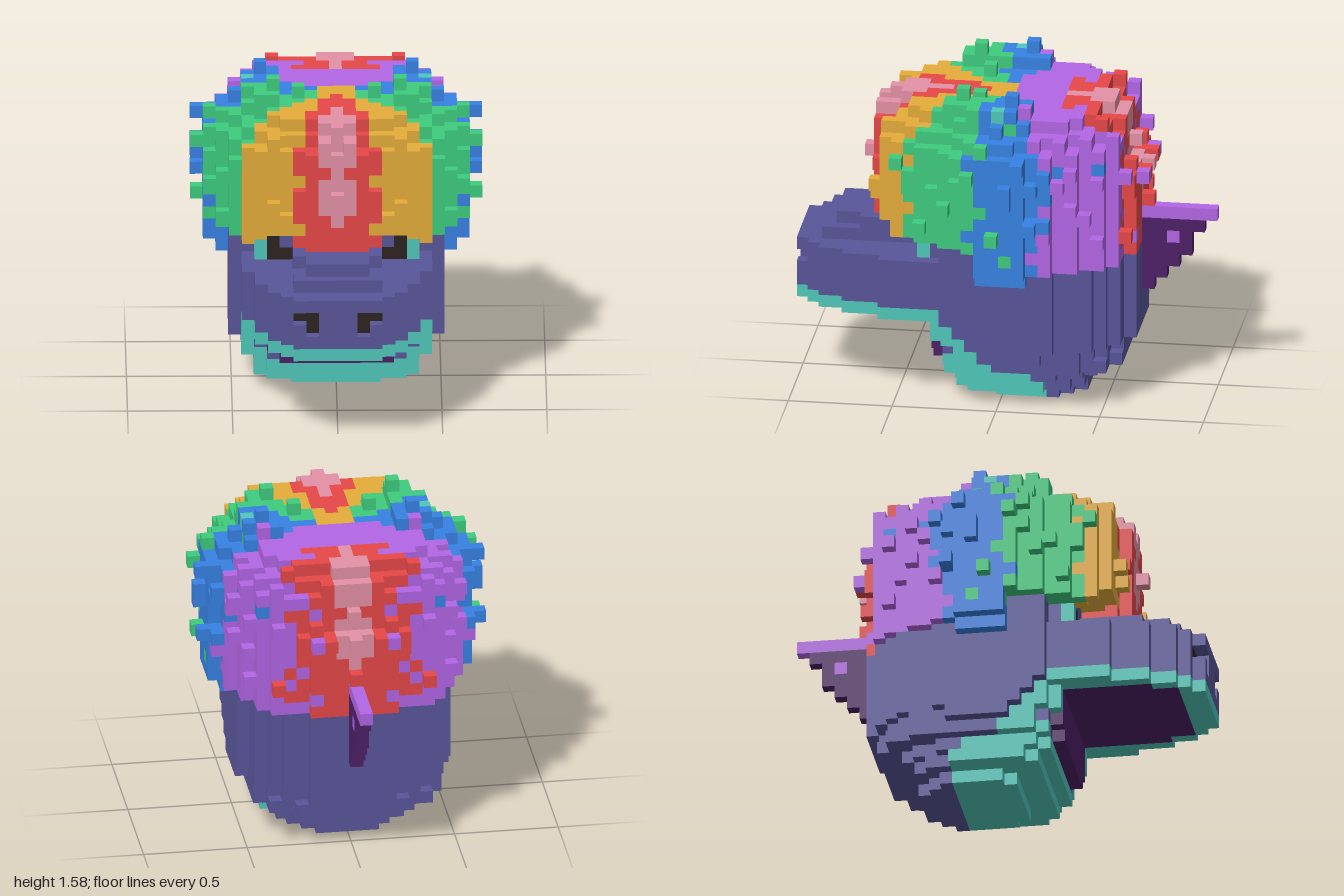
import * as THREE from 'three';

const U = 2 / 33; // edge of one block

const paint = (name, color) => {
  const m = new THREE.MeshStandardMaterial({ color });
  m.name = name;
  return m;
};
const slate = paint('slate', 0x59569a), teal = paint('teal', 0x50c8bb);
const plum = paint('dark plum', 0x4d2066), black = paint('black', 0x2e2420);
const pink = paint('pink', 0xe491a5), red = paint('red', 0xe84848);
const orange = paint('orange', 0xe5ad3b), green = paint('green', 0x3ecc7f);
const blue = paint('blue', 0x3782e3), purple = paint('purple', 0xb366e6);

const partMaterial = {
  head: slate, lips: teal, mouth: plum, nostrils: black, eyes: black, eyeCorners: teal,
  hairPink: pink, hairRed: red, hairOrange: orange, hairGreen: green, hairBlue: blue, hairPurple: purple, hairTeal: teal,
  ponytail: plum, ponytailTop: purple,
};

// Repeatable noise from block coordinates, 0..1
function hash(a, b, c, d = 0) {
  let h = Math.imul(a + 31, 374761393) ^ Math.imul(b + 17, 668265263) ^ Math.imul(c + 53, 2147483647) ^ Math.imul(d + 7, 1274126177);
  h = Math.imul(h ^ (h >>> 13), 1274126177);
  h = Math.imul(h ^ (h >>> 15), 2246822519);
  return ((h ^ (h >>> 16)) >>> 0) / 4294967296;
}

// Hair colour runs around the crown from front (0 degrees) to back (180)
function hairPart(i, j, k) {
  const r = Math.hypot(i, k);
  const pinkWidth = j === 16 || j === 20 || Math.abs(k) < 7 ? 0 : 1;
  if (j >= 16 && r >= 5 && i <= pinkWidth) return 'hairPink';
  if (r < 2) return k >= 0 ? 'hairOrange' : 'hairPurple';
  let angle = THREE.MathUtils.radToDeg(Math.atan2(i, k - 0.4));
  angle += (hash(i, j, k, 9) - 0.5) * (angle > 130 ? 24 : 9);
  if (angle > 60 && angle < 100 && hash(i, j, k, 5) < 0.05) return 'hairTeal';
  if (angle > 85 && angle < 140 && hash(i, j, k, 6) < 0.06) angle -= 30;
  if (angle < 20) return 'hairRed';
  if (angle < 46) return 'hairOrange';
  if (angle < 83) return 'hairGreen';
  if (angle < 114) return 'hairBlue';
  return angle < 155 || r < 5 ? 'hairPurple' : 'hairRed';
}

// Half widths in blocks, along z
const headRound = [0.4, 0.63, 0.75, 0.88, 0.88, 0.88], chinRound = [0.6, 0.8, 0.88];
const rounded = (full, steps, n) => Math.round(full * (steps[n] ?? 1));
function snoutWidth(k) {
  if (k <= 9) return 7;
  if (k <= 12) return 6;
  return k <= 14 ? 5 : 19 - k;
}
const hairWidths = [3, 6, 7, 7, 8, 8, 9, 9, 10, 10, 10, 10, 10, 9, 9, 8, 8, 7, 7, 6, 2]; // z -10 to 10
const hairWidth = (k) => hairWidths[k + 10] ?? -1;

function buildBlocks() {
  const cells = new Map();
  const key = (i, j, k) => `${i},${j},${k}`;
  const has = (i, j, k) => cells.has(key(i, j, k));
  const put = (i, j, k, part) => cells.set(key(i, j, k), { i, j, k, part });
  const pair = (i, j, k, part) => { put(i, j, k, part); put(-i, j, k, part); };

  // Rounded lower head with a slanted lip band and open mouth
  const chinWidth = [4, 6, 6, 7, 8, 8, 8], back = [-6, -6, -7, -9, -9, -10, -10];
  const front = [1, 3, 4, 4, 4, 5, 5], frontWidth = [3, 5, 5, 6, 6, 6, 6];
  const lipStart = [-3, -3, -2, 1, 2, 3, 4];
  for (let j = 0; j < 7; j++) {
    for (let k = back[j]; k <= front[j]; k++) {
      const lip = k >= lipStart[j];
      const behind = rounded(chinWidth[j], j < 4 ? chinRound : headRound, k - back[j]);
      const w = Math.min(behind, frontWidth[j] + front[j] - k, lip ? 7 : 8);
      for (let i = 0; i <= w; i++) pair(i, j, k, lip ? 'lips' : 'head');
    }
    if (j > 2) for (let i = 0; i <= (j === 3 ? 4 : 5); i++) pair(i, j, 5, 'mouth');
  }
  pair(5, 3, 4, 'head');
  pair(6, 4, 4, 'head');

  // Upper head and long snout
  for (let j = 7; j <= 13; j++) {
    for (let k = -10; k <= 16; k++) {
      let w = k <= 4 ? rounded(8, headRound, k + 10) : snoutWidth(k);
      if (j >= 12 && k > 4) w = 6;
      if (j >= 12 && k > 6) w = 3;
      if (j === 12 && k > 14) w = -1;
      if (j === 13 && k > 11) w = k <= 13 ? 2 : -1;
      for (let i = 0; i <= w; i++) {
        const roof = k > 4 && k < 15 && i <= Math.min(5, w - 1);
        pair(i, j, k, j === 7 && k >= 5 ? (roof ? 'mouth' : 'lips') : 'head');
      }
    }
  }

  // Nostrils sunk one block into the snout, and eyes
  for (const [i, j] of [[2, 9], [2, 10], [3, 10]]) {
    for (const s of [-i, i]) cells.delete(key(s, j, 16));
    pair(i, j, 15, 'nostrils');
  }
  for (const [i, j] of [[4, 12], [5, 12], [5, 13]]) pair(i, j, 6, 'eyes');
  for (const j of [12, 13]) pair(6, j, 6, 'eyeCorners');

  // Hair dome with two low lobes on top
  const dome = [];
  const strand = (i, j, k) => {
    pair(i, j, k, hairPart(i, j, k));
    dome.push([i, j, k]);
  };
  for (let k = -10; k <= 10; k++) {
    for (let j = 11; j <= 23; j++) {
      if ((k === 10 && j > 21) || (k === -10 && j > 18)) continue;
      const inset = Math.max(0, j - 21);
      const w = Math.min(hairWidth(k), hairWidth(k + inset), hairWidth(k - inset)) - inset;
      let bottom = 12;
      if (k >= 7) bottom = 15;
      else if (k >= 2) bottom = 14;
      for (let i = 0; i <= w; i++) {
        const fringe = j === 14 && k >= 7 && (i <= 2 || (k === 7 && i >= 6));
        const sideburn = j === 11 && i === 9 && k >= -2 && k <= 1;
        if (j >= bottom || fringe || sideburn) strand(i, j, k);
      }
    }
  }
  for (let k = -2; k <= 4; k++) {
    for (let i = 5; i <= (k < -1 || k > 2 ? 6 : 7); i++) strand(i, 24, k);
  }

  // Placed curls, then loose ones standing out from the dome
  const curls = [[5, 25, 3], [6, 25, -1], [3, 24, 2], [0, 18, 11], [11, 21, -2], [11, 18, -1], [11, 19, -1], [11, 15, 0], [11, 16, -3], [11, 20, 2]];
  for (const c of curls) pair(...c, hairPart(...c));
  const outward = [[1, 0, 0], [0, 1, 0], [0, 0, 1], [0, 0, -1]];
  for (const [i, j, k] of dome) {
    outward.forEach(([a, b, c], d) => {
      const x = i + a, y = j + b, z = k + c;
      if (x > 10 || y > 23 || z > 10 || z < -11 || has(x, y, z) || j < 14) return;
      if (hash(i, j, k, d) < 0.1) pair(x, y, z, hairPart(x, y, z));
    });
  }

  // Brow under the fringe
  for (let k = 5; k <= 6; k++) for (let i = 3; i <= 5; i++) pair(i, 14, k, 'head');

  // Thin ponytail, one block wide
  const tailEnd = [-11, -12, -13, -14, -14, -15];
  tailEnd.forEach((end, n) => {
    for (let k = -11; k >= end; k--) put(0, n + 8, k, 'ponytail');
  });
  for (let k = -11; k >= -16; k--) put(0, 14, k, 'ponytailTop');
  put(0, 12, -13, 'ponytailTop');

  return { cells, has };
}

export function createModel() {
  const { cells, has } = buildBlocks();
  const buffers = {};

  // Each face: normal n with tangents u, v so that u x v = n
  const faces = [];
  for (let a = 0; a < 3; a++) {
    for (const s of [1, -1]) {
      const n = [0, 0, 0], u = [0, 0, 0], v = [0, 0, 0];
      n[a] = s;
      u[(a + 1) % 3] = s;
      v[(a + 2) % 3] = 1;
      faces.push([n, u, v]);
    }
  }

  // Keep only the exposed block faces
  for (const { i, j, k, part } of cells.values()) {
    const b = (buffers[part] ??= { position: [], normal: [], index: [] });
    const center = [i, j + 0.5, k];
    for (const [n, u, v] of faces) {
      if (has(i + n[0], j + n[1], k + n[2])) continue;
      const start = b.position.length / 3;
      for (const [p, q] of [[-1, -1], [1, -1], [1, 1], [-1, 1]]) {
        for (let a = 0; a < 3; a++) b.position.push((center[a] + (n[a] + p * u[a] + q * v[a]) / 2) * U);
        b.normal.push(...n);
      }
      b.index.push(start, start + 1, start + 2, start, start + 2, start + 3);
    }
  }

  const group = new THREE.Group();
  group.name = 'blockHead';
  for (const [part, b] of Object.entries(buffers)) {
    const geometry = new THREE.BufferGeometry();
    geometry.setAttribute('position', new THREE.Float32BufferAttribute(b.position, 3));
    geometry.setAttribute('normal', new THREE.Float32BufferAttribute(b.normal, 3));
    geometry.setIndex(b.index);
    const mesh = new THREE.Mesh(geometry, partMaterial[part]);
    mesh.name = part;
    group.add(mesh);
  }
  return group;
}
